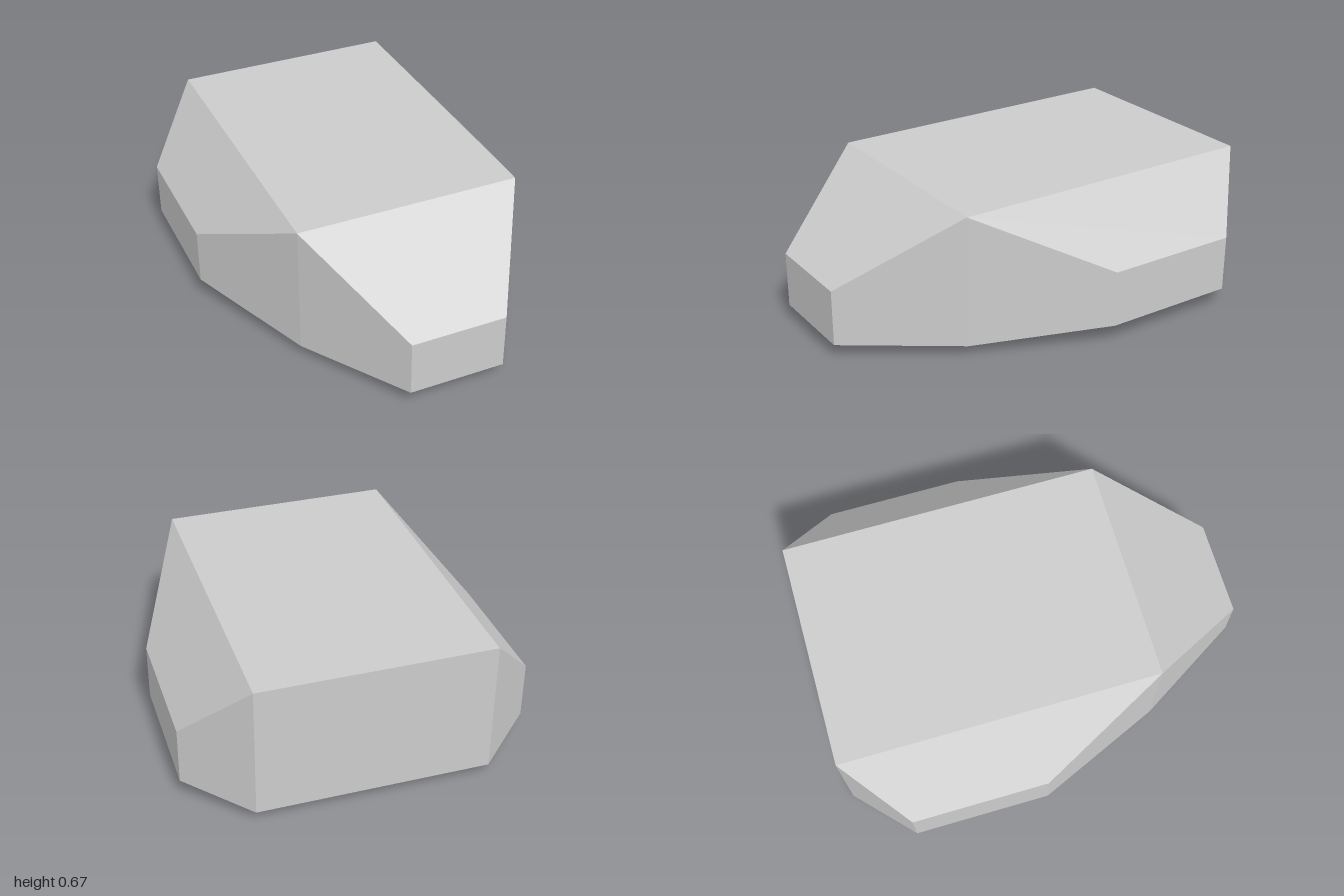
import * as THREE from 'three';
import { ConvexGeometry } from 'three/addons/geometries/ConvexGeometry.js';

// Half outline of the body, front to back: [x, z, bottom y, top y]
const OUTLINE = [
  [0.225, 1.0, 0.07, 0.333],
  [0.53, 0.5, 0.05, 0.67],
  [0.8, -0.105, 0.09, 0.355],
  [0.8, -0.75, 0.09, 0.355],
  [0.53, -1.0, 0.05, 0.67],
];

export function createModel() {
  const model = new THREE.Group();
  const material = new THREE.MeshStandardMaterial({ color: 0xcccccc, flatShading: true });

  // Faceted body: every corner mirrored across x = 0, wrapped in a convex shell
  const corners = [];
  for (const [x, z, low, high] of OUTLINE) {
    for (const side of [-1, 1]) {
      corners.push(new THREE.Vector3(side * x, low, z), new THREE.Vector3(side * x, high, z));
    }
  }
  const body = new THREE.Mesh(new ConvexGeometry(corners), material);
  body.name = 'body';
  model.add(body);

  // Four low pads under the flat part of the base
  const addFoot = (name, x, z, depth) => {
    const foot = new THREE.Mesh(new THREE.BoxGeometry(0.175, 0.05, depth), material);
    foot.name = name;
    foot.position.set(x, 0.025, z);
    model.add(foot);
  };
  for (const [label, side] of [['Left', 1], ['Right', -1]]) {
    addFoot('front' + label + 'Foot', side * 0.266, 0.178, 0.215);
    addFoot('back' + label + 'Foot', side * 0.266, -0.482, 0.245);
  }

  return model;
}
